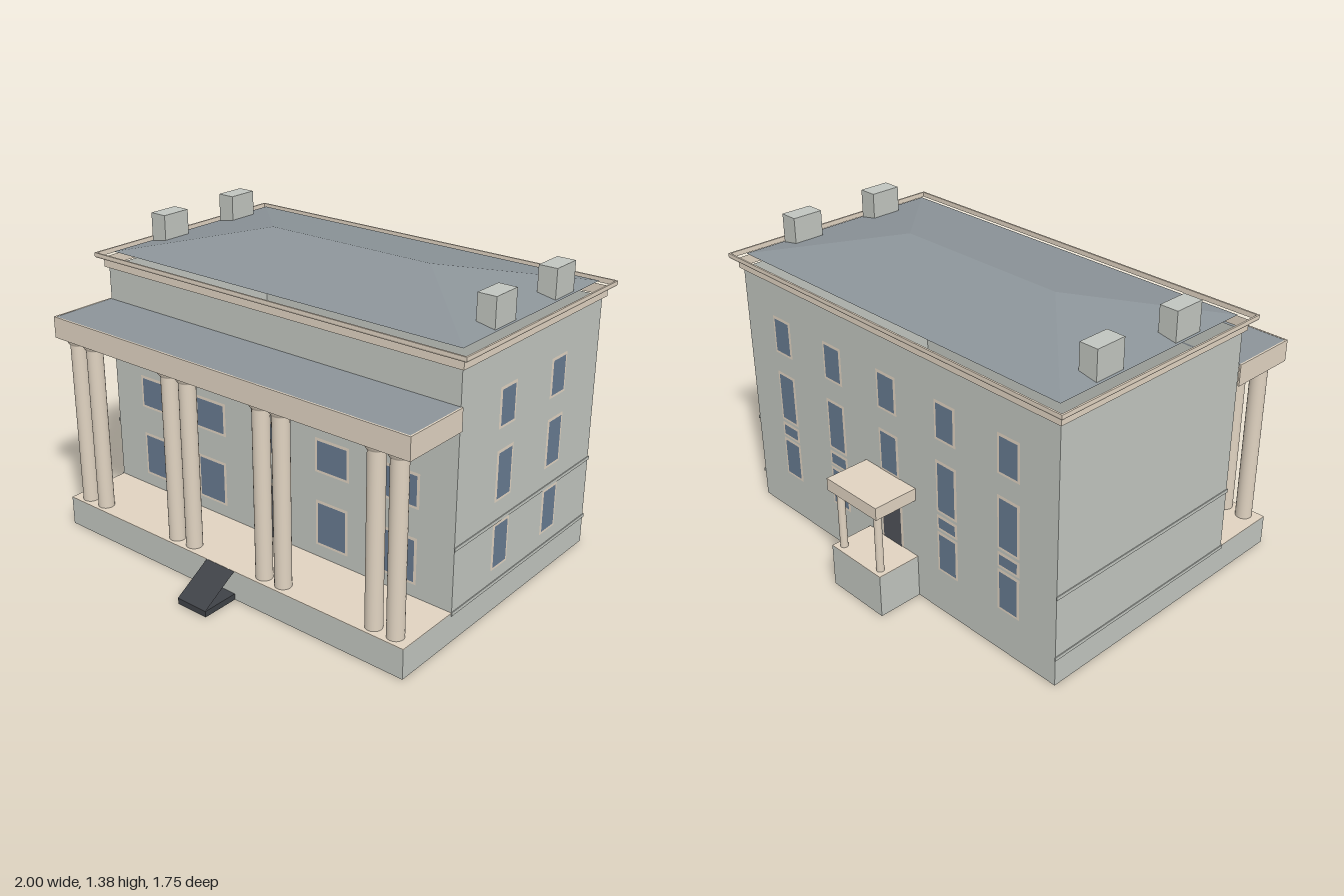
import * as THREE from 'three';

const mat = (name, color) =>
  Object.assign(new THREE.MeshStandardMaterial({ color, side: THREE.DoubleSide }), { name });

export function createModel() {
  const wall = mat('grey wall', 0xc1c5bf);
  const trim = mat('tan trim', 0xe0d3c1);
  const glass = mat('blue glass', 0x677a90);
  const dark = mat('dark door', 0x505359);
  const stepDark = mat('dark step', 0x3f4247);
  const slate = mat('slate roof', 0x8c9499);

  const model = new THREE.Group();
  model.name = 'house';

  const add = (name, geometry, material, parent = model) => {
    const mesh = new THREE.Mesh(geometry, material);
    mesh.name = name;
    parent.add(mesh);
    return mesh;
  };
  // Box given by its limits on each axis
  const box = (name, material, x0, x1, y0, y1, z0, z1) => {
    const mesh = add(name, new THREE.BoxGeometry(x1 - x0, y1 - y0, z1 - z0), material);
    mesh.position.set((x0 + x1) / 2, (y0 + y1) / 2, (z0 + z1) / 2);
    return mesh;
  };
  // Sweep a profile of [outward offset, height] around a rectangle
  const ring = (name, material, hx, hz, cz, profile) => {
    const corners = [[-1, 1], [1, 1], [1, -1], [-1, -1]];
    const at = ([sx, sz], [d, y]) => [sx * (hx + d), y, cz + sz * (hz + d)];
    const pos = [];
    for (let k = 0; k + 1 < profile.length; k++) {
      corners.forEach((c, i) => {
        const n = corners[(i + 1) % 4];
        const [p, q, r, s] = [at(c, profile[k]), at(n, profile[k]), at(n, profile[k + 1]), at(c, profile[k + 1])];
        pos.push(...p, ...q, ...r, ...p, ...r, ...s);
      });
    }
    const g = new THREE.BufferGeometry();
    g.setAttribute('position', new THREE.Float32BufferAttribute(pos, 3));
    g.computeVertexNormals();
    return add(name, g, material);
  };
  // Three thin sides projecting from a wall
  const apron = (name, material, hx, zWall, zOut, y0, y1) => {
    const t = 0.008, zIn = zOut - Math.sign(zOut - zWall) * t;
    box(name + 'Face', material, -hx, hx, y0, y1, Math.min(zOut, zIn), Math.max(zOut, zIn));
    for (const x of [-hx, hx - t]) box(name + 'Side', material, x, x + t, y0, y1, Math.min(zWall, zOut), Math.max(zWall, zOut));
  };

  // Open wall shell, cornice band, overhanging rim and hipped roof
  const HX = 0.955, HZ = 0.5225, CZ = -0.1425, FRONT = 0.38, BACK = -0.665;
  ring('walls', wall, HX, HZ, CZ, [[0, 0], [0, 1.18]]);
  ring('corniceBand', trim, HX, HZ, CZ, [[0.015, 1.178], [0.015, 1.223]]);
  ring('corniceRim', trim, HX, HZ, CZ, [[0.036, 1.223], [0.041, 1.223], [0.044, 1.23], [0.044, 1.245], [0.036, 1.245], [0.036, 1.223]]);
  ring('roof', slate, 0.94, 0.5075, -0.1475, [[0, 1.246], [-0.5075, 1.342]]);

  // String courses on the end walls, and chimneys
  for (const s of [-1, 1]) {
    for (const y of [0.125, 0.415]) box('stringCourse', wall, s * 0.9575 - 0.002, s * 0.9575 + 0.002, y, y + 0.016, BACK - 0.004, FRONT + 0.004);
    for (const z of [-0.385, 0.059]) box('chimney', wall, s * 0.886 - 0.043, s * 0.886 + 0.043, 1.24, 1.38, z - 0.073, z + 0.073);
  }

  // Framed openings: u runs along the wall, local +z points outward
  const panel = (parent, name, material, u, y0, y1, w, z) => {
    add(name, new THREE.PlaneGeometry(w, y1 - y0), material, parent).position.set(u, (y0 + y1) / 2, z);
  };
  const opening = (parent, name, material, u, y0, y1, w, sill = 0.012) => {
    const f = 0.012;
    panel(parent, name + 'Frame', trim, u, y0, y1, w, 0.002);
    panel(parent, name, material, u, y0 + sill, y1 - f, w - 2 * f, 0.004);
  };
  const facade = (name, x, z, turn) => {
    const g = new THREE.Group();
    g.name = name;
    g.position.set(x, 0, z);
    g.rotation.y = turn;
    model.add(g);
    return g;
  };

  // Front openings
  const front = facade('frontOpenings', 0, FRONT, 0);
  for (const x of [-0.695, -0.345, 0, 0.345, 0.695]) {
    opening(front, 'upperWindow', glass, x, 0.538, 0.695, 0.18);
    if (x) opening(front, 'lowerWindow', glass, x, 0.195, 0.408, 0.17);
  }
  opening(front, 'frontDoor', dark, 0, 0.138, 0.402, 0.185, 0);

  // Side openings, on one end wall only
  const side = facade('sideOpenings', HX, 0, Math.PI / 2);
  for (const z of [0.049, -0.335]) {
    for (const [a, b] of [[0.2, 0.415], [0.515, 0.742], [0.836, 1.014]]) opening(side, 'sideWindow', glass, -z, a, b, 0.12);
  }

  // Rear openings
  const rear = facade('rearOpenings', 0, BACK, Math.PI);
  for (const x of [-0.7, -0.35, 0, 0.35, 0.7]) {
    opening(rear, 'rearTopWindow', glass, x, 0.836, 1.014, 0.12);
    opening(rear, 'rearMiddleWindow', glass, x, x ? 0.495 : 0.54, 0.742, 0.12);
    if (x) {
      opening(rear, 'rearTransom', glass, x, 0.41, 0.482, 0.12);
      opening(rear, 'rearLowerWindow', glass, x, 0.205, 0.4, 0.12);
    }
  }
  opening(rear, 'rearDoor', dark, 0, 0.202, 0.44, 0.14, 0);

  // Round column with a small flared capital
  const column = (name, x, z, y0, y1, r) => {
    const h = y1 - y0;
    const pts = [[r, 0], [r, h - r * 0.75], [r * 1.12, h - r * 0.6], [r * 1.35, h - r * 0.25], [r * 1.35, h]];
    const c = add(name, new THREE.LatheGeometry(pts.map(p => new THREE.Vector2(...p)), 24), trim);
    c.position.set(x, y0, z);
  };

  // Front portico: hollow base, floor, paired columns, entablature and flat roof
  apron('porticoBase', wall, HX, FRONT, 0.7, 0, 0.134);
  box('porticoFloor', trim, -HX, HX, 0.134, 0.137, FRONT, 0.7);
  for (const x of [0.204, 0.308, 0.775, 0.88]) {
    for (const s of [-1, 1]) column('porticoColumn', s * x, 0.648, 0.137, 0.929, 0.037);
  }
  apron('entablature', trim, 0.965, FRONT, 0.705, 0.928, 1.026);
  box('porticoRoof', slate, -0.957, 0.957, 1.012, 1.025, FRONT, 0.697);

  // Entrance step with a ramp rising to the portico floor
  box('frontStep', stepDark, -0.08, 0.08, 0, 0.028, 0.7, 0.875);
  const rise = 0.107, run = 0.175;
  const ramp = add('frontRamp', new THREE.PlaneGeometry(0.16, Math.hypot(rise, run)), stepDark);
  ramp.rotation.x = -Math.atan2(run, rise);
  ramp.position.set(0, 0.029 + rise / 2, 0.7 + run / 2);

  // Rear porch
  apron('rearPorchBase', wall, 0.158, BACK, -0.873, 0, 0.198);
  box('rearPorchFloor', trim, -0.158, 0.158, 0.198, 0.201, -0.873, BACK);
  for (const x of [-0.12, 0.12]) column('rearPorchColumn', x, -0.838, 0.2, 0.486, 0.017);
  apron('rearPorchBeam', trim, 0.158, BACK, -0.875, 0.482, 0.532);
  box('rearPorchRoof', trim, -0.158, 0.158, 0.528, 0.54, -0.875, BACK);

  return model;
}
